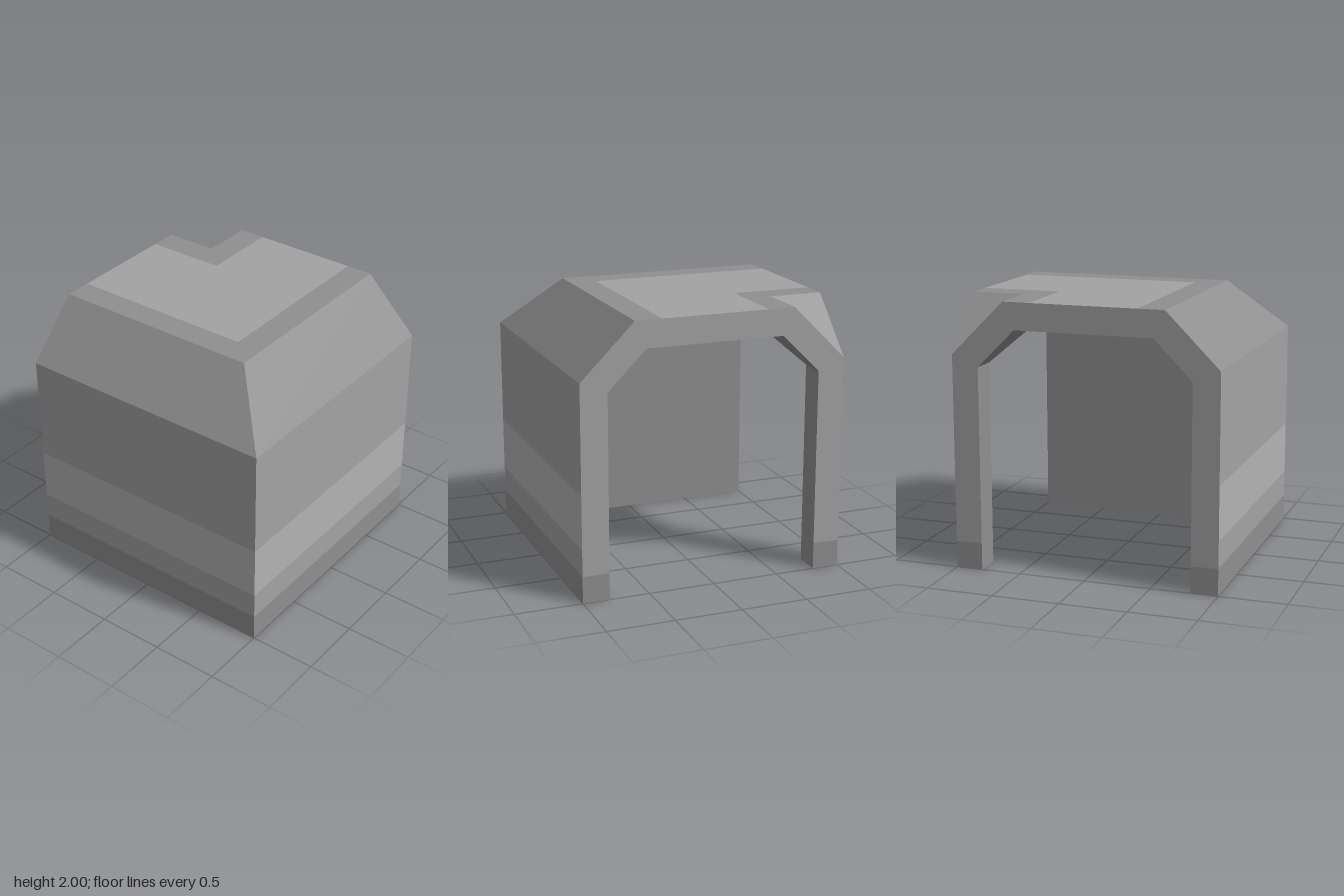
import * as THREE from 'three';

const T = 0.2;                                   // shell thickness
const K = T * Math.tan(Math.PI / 8);             // shift of the inner bevel corners
const BASE = 0.2;                                // height of the dark base course

const tone = (color) => new THREE.MeshStandardMaterial({ color, flatShading: true });
const main = tone(0xa3a3a3), light = tone(0xb3b3b3), dark = tone(0x8f8f8f);

// Sweeps a run of arch profile points [u, y] around the mitred corner:
// one leg opens to the back (z = -1), the other to the right (x = -1).
function sweep(points) {
  const pos = [];
  const tri = (...v) => v.forEach((p) => pos.push(...p));
  for (let i = 0; i + 1 < points.length; i++) {
    const [p, q] = [points[i], points[i + 1]];
    const back = ([u, y]) => [u, y, -1];
    const side = ([u, y]) => [-1, y, u];
    const mitre = ([u, y]) => [u, y, u];
    if (p[0] > -1) {
      tri(back(p), mitre(p), mitre(q));
      tri(side(p), mitre(q), mitre(p));
    }
    if (q[0] > -1) {
      tri(back(p), mitre(q), back(q));
      tri(side(p), side(q), mitre(q));
    }
  }
  const geo = new THREE.BufferGeometry();
  geo.setAttribute('position', new THREE.Float32BufferAttribute(pos, 3));
  geo.computeVertexNormals();
  return geo;
}

export function createModel() {
  const model = new THREE.Group();
  model.name = 'cornerTunnel';
  const add = (name, geo, mat) => {
    const mesh = new THREE.Mesh(geo, mat);
    mesh.name = name;
    model.add(mesh);
  };

  // Outer walls, in horizontal courses from the bevel down
  add('wallUpper', sweep([[1, 1.6], [1, 0.8]]), main);
  add('wallLightBand', sweep([[1, 0.8], [1, 0.4]]), light);
  add('wallLower', sweep([[1, 0.4], [1, BASE]]), main);
  add('wallBase', sweep([[1, BASE], [1, 0]]), dark);

  // Dark bevels, and the flat roof with its dark border
  add('roofNotch', sweep([[-1, 1.6], [-0.6, 2]]), dark);
  add('roofInnerBorder', sweep([[-0.6, 2], [-0.4, 2]]), dark);
  add('roofCentre', sweep([[-0.4, 2], [0.4, 2]]), main);
  add('roofOuterBorder', sweep([[0.4, 2], [0.6, 2]]), dark);
  add('roofBevel', sweep([[0.6, 2], [1, 1.6]]), dark);

  // Inside of the tunnel, including the inner faces of the post
  const w = 1 - T;
  const inner = [[w, 0], [w, 1.6 - K], [0.6 - K, 2 - T],
    [K - 0.6, 2 - T], [-w, 1.6 - K], [-w, 0]];
  add('lining', sweep(inner), dark);

  // Undersides of the walls and the post
  add('wallFoot', sweep([[1, 0], [w, 0]]), dark);
  add('postFoot', sweep([[-w, 0], [-1, 0]]), dark);

  // Flat end faces around the two openings
  const shape = (pts) => new THREE.Shape(pts.map(([u, y]) => new THREE.Vector2(u, y)));
  const arch = shape([[-1, BASE], [-1, 1.6], [-0.6, 2], [0.6, 2], [1, 1.6], [1, BASE],
    ...inner.map(([u, y]) => [u, Math.max(y, BASE)])]);
  const feet = [-1, 1].map((s) => shape([[s, 0], [s, BASE], [s * w, BASE], [s * w, 0]]));
  for (const [name, turn, x, z] of [['back', Math.PI, 0, -1], ['right', -Math.PI / 2, -1, 0]]) {
    const face = (s) => new THREE.ShapeGeometry(s).rotateY(turn).translate(x, 0, z);
    add(name + 'Arch', face(arch), main);
    add(name + 'ArchFeet', face(feet), dark);
  }
  return model;
}
